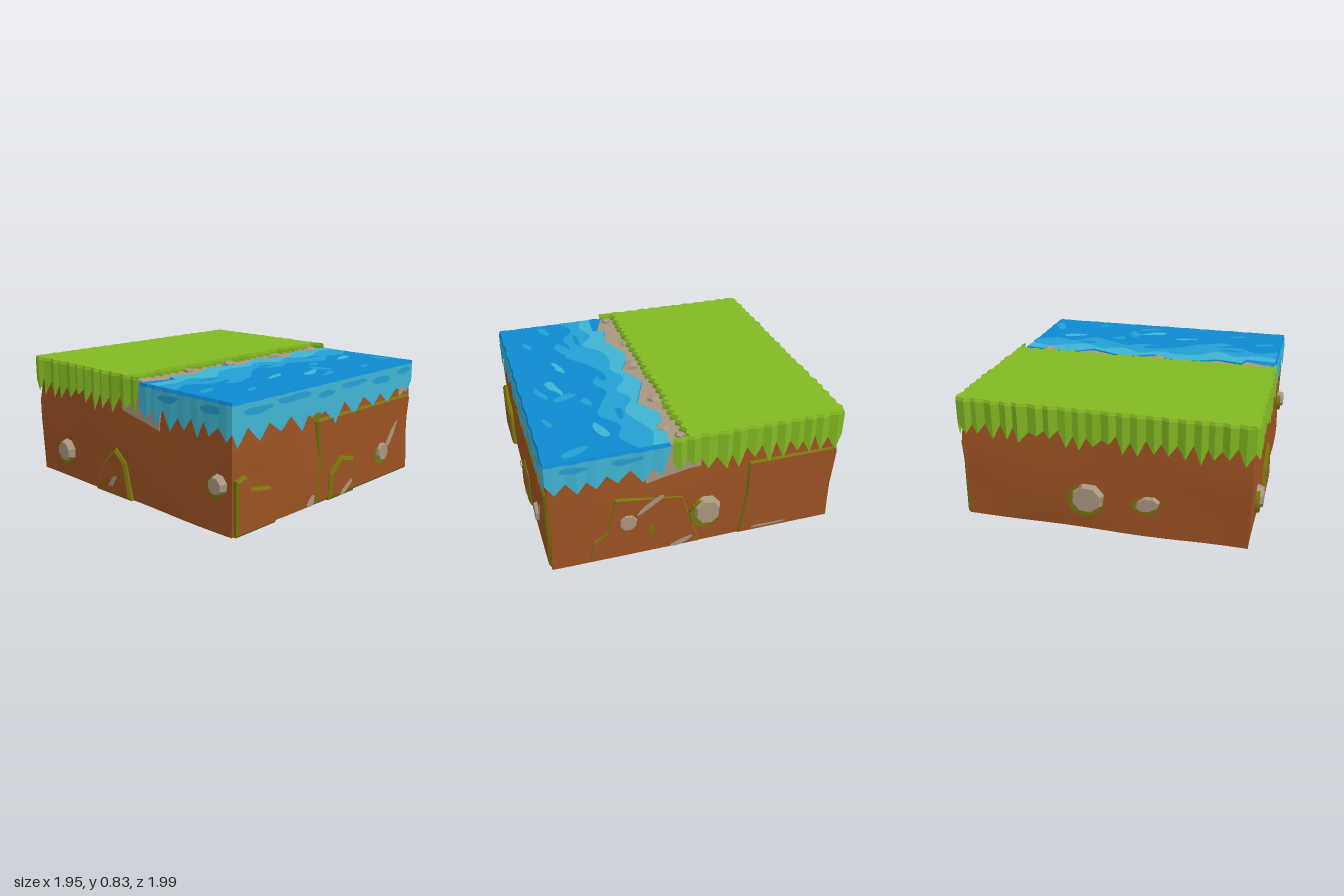
import * as THREE from 'three';

const material = (name, color, double) => {
  const m = new THREE.MeshStandardMaterial({ color, side: double ? THREE.DoubleSide : THREE.FrontSide });
  m.name = name;
  return m;
};

export function createModel() {
  const model = new THREE.Group();
  const grass = material('grass', 0x82b822, true);
  const dirt = material('dirt', 0x9c5222);
  const deep = material('deepWater', 0x0d8ad0, true);
  const mid = material('midWater', 0x249fd3, true);
  const shallow = material('shallowWater', 0x3fb4d2, true);
  const stone = material('stone', 0xa8967f);
  const moss = material('moss', 0x77740a);

  let seed = 7;
  const rand = (a = 0, b = 1) => {
    seed = (seed * 16807) % 2147483647;
    return a + (b - a) * seed / 2147483647;
  };
  const add = (name, geometry, mat, parent = model) => {
    const mesh = new THREE.Mesh(geometry, mat);
    mesh.name = name;
    parent.add(mesh);
    return mesh;
  };
  const vecs = (list) => list.map(([x, y]) => new THREE.Vector2(x, y));

  // Soil block, gently uneven and narrowing under the fringes
  const soil = new THREE.BoxGeometry(1.86, 0.77, 1.91, 14, 6, 14).translate(0, 0.385, 0);
  const p = soil.attributes.position;
  for (let i = 0; i < p.count; i++) {
    const x = p.getX(i), y = p.getY(i), z = p.getZ(i);
    const wave = Math.sin(x * 7 + y * 5 + z * 3) + Math.sin(y * 9 - x * 4 + z * 6);
    const k = 1 + 0.005 * wave - (y > 0.6 ? 0.015 : 0) - (y < 0.05 ? 0.005 : 0);
    p.setX(i, x * k);
    p.setZ(i, z * k);
  }
  soil.computeVertexNormals();
  add('soilBlock', soil, dirt);

  // Surface layer with a toothed fringe. Each loop entry is a corner and the edge after it:
  // [x, z, teeth (count or list of [t, y]), tipLow, tipHigh, notchY, bulge]
  function surfaceLayer(name, loop, top, capMat, fringeMat) {
    const rows = [];
    loop.forEach(([x, z, teeth, low, high, notch, bulge], i) => {
      const [x2, z2] = loop[(i + 1) % loop.length];
      const len = Math.hypot(x2 - x, z2 - z);
      const nx = -(z2 - z) / len, nz = (x2 - x) / len;
      const put = (t, out, y) => rows.push({
        x: x + (x2 - x) * t, z: z + (z2 - z) * t, nx, nz, out, y,
      });
      const list = Array.isArray(teeth) ? teeth
        : Array.from({ length: teeth }, (_, k) => [(k + rand(0.3, 0.7)) / teeth, rand(low, high)]);
      put(0, 0, notch);
      list.forEach(([t, y], k) => {
        put(t, bulge * rand(0.5, 1), y);
        if (k < list.length - 1) put((t + list[k + 1][0]) / 2, 0, notch + rand(-0.02, 0.02) * (notch < 0.7));
      });
    });
    const at = (r, out, y) => [r.x + r.nx * out, y, r.z + r.nz * out];
    const rim = [], fringe = [];
    const quad = (target, a, b, c, d) => target.push(...a, ...b, ...c, ...a, ...c, ...d);
    rows.forEach((a, i) => {
      const b = rows[(i + 1) % rows.length];
      const inner = (r) => at(r, r.out - 0.008, top);
      const edge = (r) => at(r, r.out, top - 0.02);
      const hem = (r) => at(r, r.out, Math.min(r.y, top - 0.022));
      quad(rim, inner(a), edge(a), edge(b), inner(b));
      quad(fringe, edge(a), hem(a), hem(b), edge(b));
    });
    const mesh = (part, data, mat) => {
      const g = new THREE.BufferGeometry();
      g.setAttribute('position', new THREE.Float32BufferAttribute(data, 3));
      g.computeVertexNormals();
      add(name + part, g, mat);
    };
    mesh('Rim', rim, capMat);
    mesh('Fringe', fringe, fringeMat);
    const cap = new THREE.Shape(rows.map((r) => {
      const [x, , z] = at(r, r.out - 0.008, top);
      return new THREE.Vector2(x, -z);
    }));
    add(name + 'Top', new THREE.ShapeGeometry(cap).rotateX(-Math.PI / 2).translate(0, top, 0), capMat);
  }

  surfaceLayer('grass', [
    [-0.94, 0.17, 1, 0.78, 0.78, 0.78, 0],
    [-0.925, 0.06, 26, 0.785, 0.79, 0.8, 0.045],
    [0.915, 0.06, 1, 0.78, 0.78, 0.78, 0],
    [0.935, 0.17, 12, 0.55, 0.63, 0.66, 0.022],
    [0.94, -0.975, 20, 0.55, 0.63, 0.66, 0.022],
    [-0.94, -0.975, 12, 0.55, 0.63, 0.66, 0.022],
  ], 0.832, grass, grass);

  const shore = [[0.93, 0.18], [0.58, 0.14], [0.42, 0.24], [0.15, 0.13], [-0.05, 0.22], [-0.18, 0.15],
    [-0.3, 0.13], [-0.52, 0.22], [-0.7, 0.18], [-0.73, 0.27], [-0.935, 0.25]];
  const frontTeeth = [[0.02, 0.53], [0.12, 0.54], [0.22, 0.56], [0.33, 0.52], [0.4, 0.57], [0.51, 0.51],
    [0.62, 0.53], [0.74, 0.55], [0.83, 0.55], [0.96, 0.58]];
  surfaceLayer('water', [
    [-0.935, 0.96, frontTeeth, 0, 0, 0.62, 0.01],
    [0.935, 0.96, 6, 0.54, 0.59, 0.65, 0.01],
    ...shore.slice(0, -1).map(([x, z]) => [x, z, 0, 0, 0, 0.77, 0]),
    [-0.935, 0.25, 0, 0, 0, 0.77, 0],
    [-0.935, 0.16, 7, 0.54, 0.59, 0.65, 0.01],
  ], 0.8, deep, shallow);

  // Sandy bank and its pebbles
  add('bank', new THREE.BoxGeometry(1.85, 0.3, 0.36).translate(0, 0.642, 0.16), stone);
  [[-0.88, 0.13, 0.04], [-0.1, 0.14, 0.055], [0.38, 0.13, 0.045], [0.74, 0.17, 0.05], [-0.45, 0.1, 0.035],
    [0.85, 0.1, 0.035]].forEach(([x, z, r]) => {
    const pebble = add('pebble', new THREE.DodecahedronGeometry(r), stone);
    pebble.position.set(x, 0.795, z);
    pebble.scale.y = 0.6;
    pebble.rotation.y = x * 9;
  });

  // Wavy shallow bands along the bank
  const lay = (shape, y) => new THREE.ShapeGeometry(shape, 10).rotateX(-Math.PI / 2).translate(0, y, 0);
  function band(name, mat, y, depths) {
    const pts = depths.map((z, i) => new THREE.Vector2(-0.925 + 1.845 * i / (depths.length - 1), -z));
    const wave = new THREE.SplineCurve(pts).getPoints(60);
    const bank = shore.map(([x, z]) => new THREE.Vector2(x * 0.99, -z - 0.006));
    add(name, lay(new THREE.Shape([...wave, ...bank]), y), mat);
  }
  band('midBand', mid, 0.802, [0.5, 0.43, 0.52, 0.5, 0.56, 0.45, 0.38, 0.46, 0.4, 0.47, 0.52, 0.42, 0.46, 0.38]);
  band('shallowBand', shallow, 0.804, [0.33, 0.36, 0.31, 0.4, 0.29, 0.27, 0.3, 0.24, 0.33, 0.27, 0.35, 0.3, 0.25, 0.29]);

  // Rounded irregular patch outline
  function blob(x, y, rx, ry, turn = 0) {
    const pts = Array.from({ length: 9 }, (_, i) => {
      const a = i / 9 * Math.PI * 2, r = rand(0.65, 1.15);
      const u = Math.cos(a) * rx * r, v = Math.sin(a) * ry * r;
      return new THREE.Vector3(x + u * Math.cos(turn) - v * Math.sin(turn), y + u * Math.sin(turn) + v * Math.cos(turn), 0);
    });
    const curve = new THREE.CatmullRomCurve3(pts, true).getPoints(36);
    return new THREE.Shape(curve.slice(0, -1).map((v) => new THREE.Vector2(v.x, v.y)));
  }
  [[-0.82, 0.64, 0.08, 0.03], [-0.48, 0.56, 0.1, 0.04], [0.05, 0.73, 0.12, 0.03], [0.22, 0.7, 0.04, 0.09],
    [0.85, 0.76, 0.04, 0.12], [0.66, 0.55, 0.1, 0.03], [0.3, 0.56, 0.06, 0.03], [-0.6, 0.8, 0.08, 0.025],
    [-0.2, 0.64, 0.09, 0.03], [0.12, 0.83, 0.1, 0.025], [0.5, 0.85, 0.06, 0.02]].forEach(([x, z, rx, rz], i) =>
    add('waterPatch', lay(blob(x, -z, rx, rz, 0.3), 0.803), i % 3 === 2 ? shallow : mid));
  [[0.0, 0.38, 0.08, 0.025], [-0.6, 0.43, 0.09, 0.02], [0.5, 0.39, 0.08, 0.025]].forEach(([x, z, rx, rz]) =>
    add('deepPatch', lay(blob(x, -z, rx, rz), 0.806), deep));

  // One group per side, its local +z pointing outward
  const side = (name, turn) => {
    const g = new THREE.Group();
    g.name = name;
    g.rotation.y = turn;
    model.add(g);
    return g;
  };
  const front = side('frontSide', 0), plusX = side('leftSide', Math.PI / 2);
  const back = side('backSide', Math.PI), minusX = side('rightSide', -Math.PI / 2);

  // Soil ledge with mossy bevelled edges
  function ledge(parent, out, points, bevel = 0.014) {
    const g = new THREE.ExtrudeGeometry(new THREE.Shape(vecs(points)), {
      depth: 0.05, bevelThickness: 0.012, bevelSize: bevel, bevelOffset: -bevel, bevelSegments: 1,
    });
    add('ledge', g.translate(0, 0, out - 0.062), [dirt, moss], parent);
  }
  ledge(front, 0.968, [[0.9, 0], [0.9, 0.56], [-0.17, 0.56], [-0.13, 0.3], [-0.15, 0]]);
  ledge(front, 0.982, [[-0.56, 0], [-0.61, 0.24], [-0.78, 0.27], [-0.83, 0.36], [-0.91, 0.34], [-0.91, 0]]);
  ledge(front, 0.985, [[0.24, 0], [0.23, 0.24], [0.08, 0.28], [-0.03, 0.18], [-0.04, 0]], 0.026);
  ledge(plusX, 0.945, [[0.94, 0], [0.93, 0.56], [0.34, 0.56], [0.33, 0.3], [0.29, 0]], 0.01);
  ledge(plusX, 0.942, [[0.02, 0], [-0.1, 0.4], [-0.54, 0.46], [-0.6, 0.22], [-0.69, 0.16], [-0.72, 0]], 0.01);
  ledge(minusX, 0.955, [[0.07, 0], [0.02, 0.25], [-0.08, 0.33], [-0.22, 0.2], [-0.3, 0]], 0.022);

  // Faceted stones set in the soil, each on a mossy socket
  function rock(parent, x, y, out, rx, ry) {
    const socket = add('mossSocket', new THREE.CylinderGeometry(0.95, 1, 0.05, 7).rotateX(Math.PI / 2), moss, parent);
    socket.scale.set(rx, ry, 1);
    socket.position.set(x - 0.018, y - 0.018, out - 0.045);
    const g = new THREE.CylinderGeometry(0.72, 1, 0.06, 8).rotateX(Math.PI / 2).toNonIndexed();
    g.computeVertexNormals();
    const r = add('rock', g, stone, parent);
    r.scale.set(rx, ry, 1);
    r.rotation.z = 0.3;
    r.position.set(x, y, out - 0.03);
  }
  rock(front, 0.57, 0.2, 0.99, 0.075, 0.08);
  rock(plusX, 0.06, 0.25, 0.975, 0.11, 0.12);
  rock(plusX, -0.46, 0.27, 0.955, 0.075, 0.075);
  rock(back, -0.1, 0.22, 0.985, 0.13, 0.12);
  rock(back, 0.29, 0.23, 0.98, 0.1, 0.06);
  rock(minusX, -0.63, 0.2, 0.975, 0.085, 0.09);
  rock(minusX, 0.85, 0.3, 0.97, 0.07, 0.07);

  // Thin stone streaks, moss spots and water patches on the sides
  const patch = (name, mat, parent, out, ...args) =>
    add(name, new THREE.ShapeGeometry(blob(...args)).translate(0, 0, out), mat, parent);
  [[front, 0.972, 0.68, 0.29, 0.12, 0.025, 0.95], [front, 0.972, -0.22, 0.04, 0.05, 0.03, 0.6],
    [front, 0.988, 0.14, 0.05, 0.09, 0.02, 0.6], [front, 0.972, 0.79, 0.61, 0.05, 0.03, 0.5],
    [plusX, 0.948, -0.32, 0.38, 0.13, 0.025, 0.6], [plusX, 0.95, 0.5, 0.035, 0.16, 0.012, 0],
    [plusX, 0.946, -0.1, 0.04, 0.09, 0.02, 0.3], [minusX, 0.958, -0.1, 0.1, 0.06, 0.02, 0.8]].forEach(([s, ...a]) =>
    patch('stoneStreak', stone, s, ...a));
  patch('mossSpot', moss, front, 0.971, -0.18, 0.58, 0.05, 0.03);
  patch('mossSpot', moss, plusX, 0.947, -0.31, 0.18, 0.02, 0.05);
  [[-0.72, 0.73, 0.12], [-0.4, 0.75, 0.16], [-0.1, 0.72, 0.09], [0.2, 0.74, 0.15], [0.52, 0.72, 0.12],
    [0.8, 0.74, 0.09]].forEach(([x, y, r]) => patch('fringePatch', mid, front, 0.974, x, y, r, 0.025));
  [-0.8, -0.45].forEach((u) => patch('fringePatch', mid, plusX, 0.948, u, 0.74, 0.1, 0.025));
  [0.45, 0.8].forEach((u) => patch('fringePatch', mid, minusX, 0.948, u, 0.74, 0.1, 0.025));

  return model;
}
